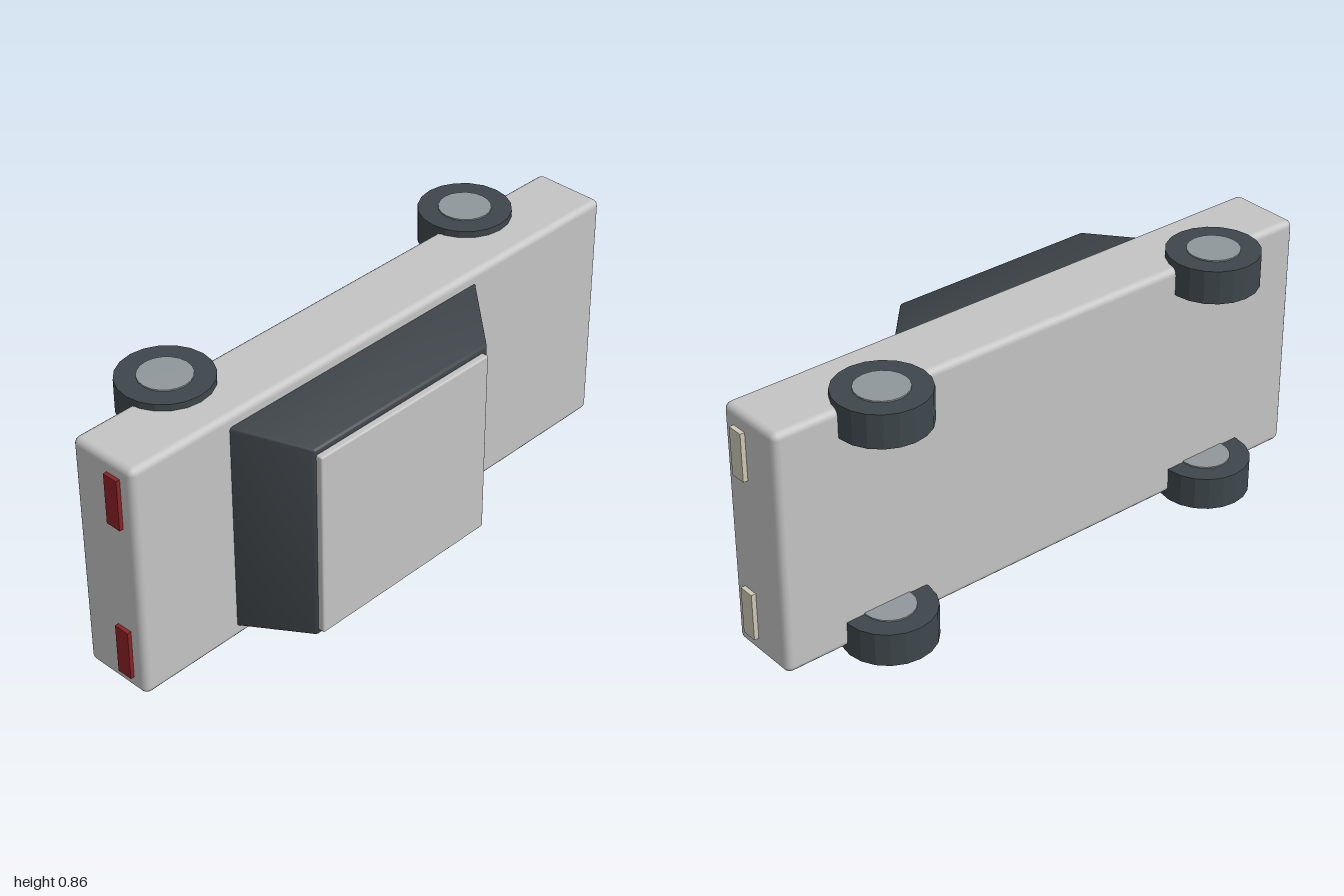
import * as THREE from 'three';
import { toCreasedNormals } from 'three/addons/utils/BufferGeometryUtils.js';
import { RoundedBoxGeometry } from 'three/addons/geometries/RoundedBoxGeometry.js';

const MID_Y = 0.429; // the car lies on its side, mirrored about this height

function material(name, color) {
  const m = new THREE.MeshStandardMaterial({ color });
  m.name = name;
  return m;
}

// Box given by its [min, max] on each axis, with softened edges
function softBox(x, y, z, radius, segments = 2) {
  const g = new RoundedBoxGeometry(x[1] - x[0], y[1] - y[0], z[1] - z[0], segments, radius);
  return g.translate((x[0] + x[1]) / 2, (y[0] + y[1]) / 2, (z[0] + z[1]) / 2);
}

// Cabin: a soft box tapered towards the roof, which faces +z
function cabinGeometry() {
  const g = softBox([0, 1.02], [-0.361, 0.361], [0.06, 0.3], 0.01);
  const p = g.attributes.position;
  const lerp = THREE.MathUtils.lerp;
  for (let i = 0; i < p.count; i++) {
    const t = (p.getZ(i) - 0.08) / 0.22;
    const u = p.getX(i) / 1.02;
    const x = lerp(lerp(-0.625, -0.512, t), lerp(0.398, 0.203, t), u);
    p.setXY(i, x, MID_Y + p.getY(i) * lerp(1, 0.925, t));
  }
  return toCreasedNormals(g, 0.5);
}

export function createModel() {
  const car = new THREE.Group();
  car.name = 'car';
  const paint = material('silver paint', 0xc4c4c4);
  const glass = material('dark glass', 0x3d4348);
  const rubber = material('tyre rubber', 0x3f474c);
  const metal = material('hub metal', 0x90979b);
  const lamp = material('headlight cream', 0xcec8b6);
  const red = material('tail light red', 0x8c2225);

  const add = (name, geometry, mat, parent = car) => {
    const mesh = new THREE.Mesh(geometry, mat);
    mesh.name = name;
    parent.add(mesh);
    return mesh;
  };

  // Body, cabin and roof panel
  add('body', softBox([-0.987, 0.985], [0.027, 0.831], [-0.163, 0.08], 0.022), paint);
  add('cabin', cabinGeometry(), glass);
  add('roof', softBox([-0.507, 0.187], [0.112, 0.746], [0.29, 0.321], 0.006), paint);

  // Wheels, axles along y
  const tyre = toCreasedNormals(new THREE.CylinderGeometry(0.147, 0.147, 0.11, 20), 0.2);
  const hub = toCreasedNormals(new THREE.CylinderGeometry(0.083, 0.083, 0.119, 20), 0.2);
  for (const [end, x] of [['front', 0.628], ['rear', -0.632]]) {
    for (const [side, s] of [['Left', 1], ['Right', -1]]) {
      const wheel = new THREE.Group();
      wheel.name = `${end}${side}Wheel`;
      wheel.position.set(x, MID_Y + s * 0.369, -0.172);
      add('tyre', tyre, rubber, wheel);
      add('hub', hub, metal, wheel);
      car.add(wheel);
    }
  }

  // Lights at both ends
  for (const s of [-1, 1]) {
    const head = add('headlight', new THREE.BoxGeometry(0.03, 0.157, 0.053), lamp);
    head.position.set(0.985, MID_Y + s * 0.27, 0.004);
    const tail = add('tailLight', new THREE.BoxGeometry(0.03, 0.17, 0.053), red);
    tail.position.set(-0.985, MID_Y + s * 0.27, 0.004);
  }
  return car;
}
